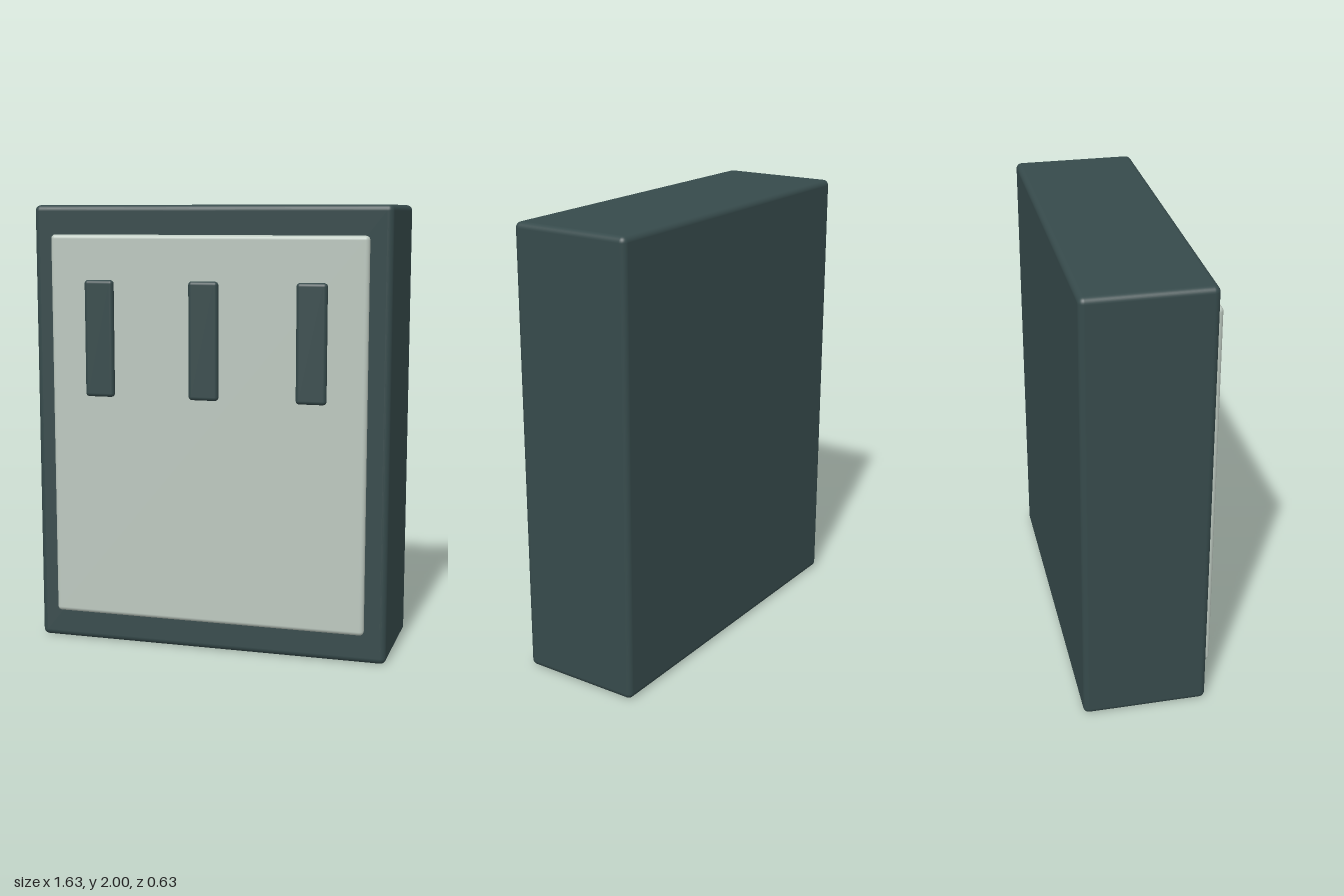
import * as THREE from 'three';
import { RoundedBoxGeometry } from 'three/addons/geometries/RoundedBoxGeometry.js';

export function createModel() {
  const model = new THREE.Group();
  model.name = 'wallBox';

  const darkSlate = new THREE.MeshStandardMaterial({ color: 0x364a4b });
  darkSlate.name = 'dark slate';
  const paleGrey = new THREE.MeshStandardMaterial({ color: 0xbcc8bf });
  paleGrey.name = 'pale grey green';

  // Rounded block given by its size and centre
  function block(name, material, [w, h, d], [x, y, z], radius) {
    const mesh = new THREE.Mesh(new RoundedBoxGeometry(w, h, d, 4, radius), material);
    mesh.name = name;
    mesh.position.set(x, y, z);
    model.add(mesh);
  }

  // Housing
  block('housing', darkSlate, [1.626, 2, 0.552], [0, 1, -0.037], 0.026);

  // Raised front panel
  block('frontPanel', paleGrey, [1.44, 1.735, 0.042], [0, 1.003, 0.259], 0.019);

  // Three upright bars on the panel
  ['rightBar', 'middleBar', 'leftBar'].forEach((name, i) => {
    block(name, darkSlate, [0.134, 0.52, 0.035], [(i - 1) * 0.482, 1.412, 0.2955], 0.016);
  });

  return model;
}
